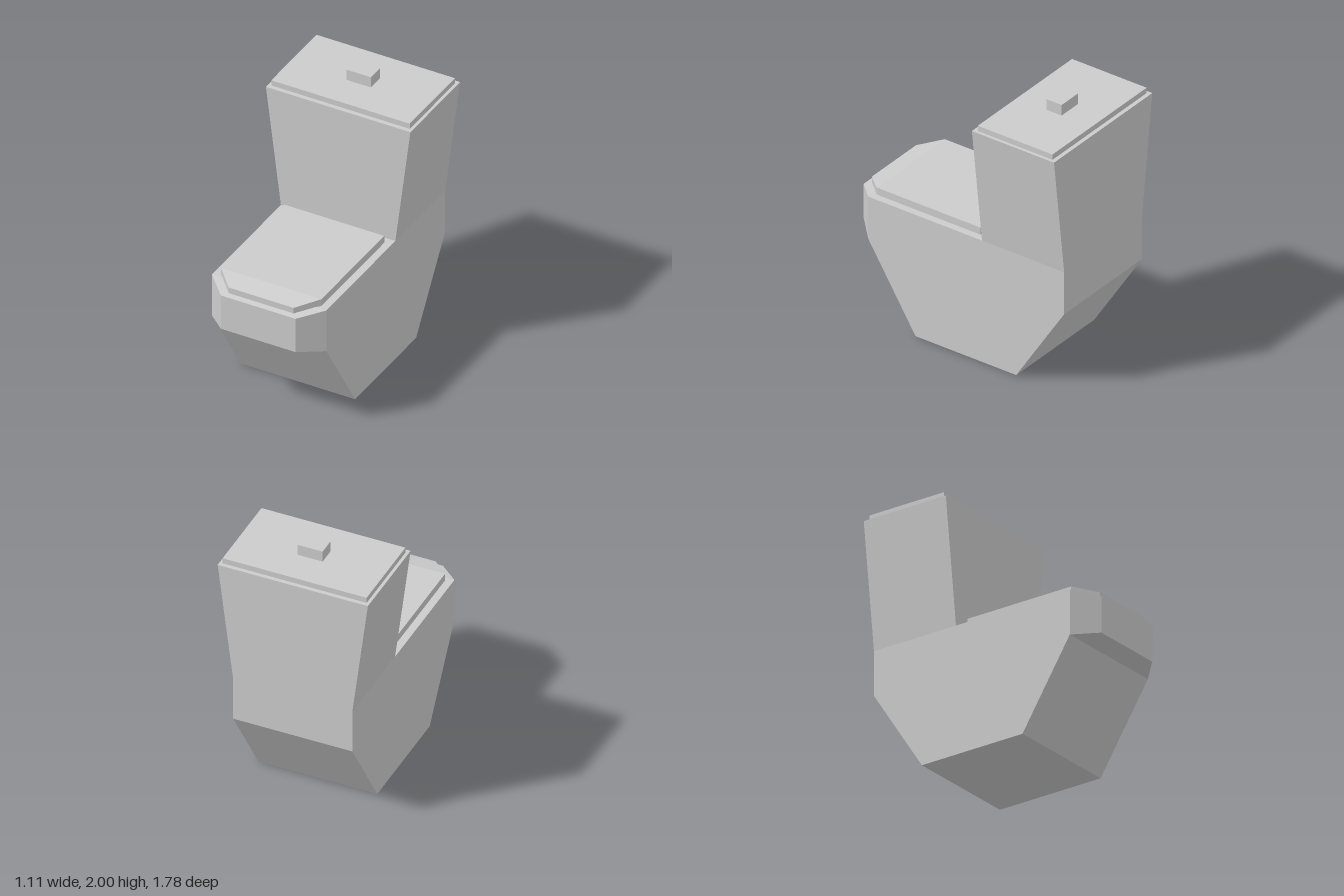
import * as THREE from 'three';

const material = new THREE.MeshStandardMaterial({ color: 0xcccccc, flatShading: true });

function addPart(group, name, geometry) {
  const mesh = new THREE.Mesh(geometry, material);
  mesh.name = name;
  group.add(mesh);
  return mesh;
}

// Solid through rectangular sections [z, halfWidth, bottom, top], ordered back to front
function loft(sections) {
  const positions = [];
  const index = [];
  for (const [z, w, y0, y1] of sections) {
    positions.push(w, y0, z, w, y1, z, -w, y1, z, -w, y0, z);
  }
  const quad = (a, b, c, d) => index.push(a, b, c, a, c, d);
  const last = (sections.length - 1) * 4;
  for (let i = 0; i < last; i += 4) {
    for (let k = 0; k < 4; k++) {
      const n = (k + 1) % 4;
      quad(i + k, i + n, i + 4 + n, i + 4 + k);
    }
  }
  quad(3, 2, 1, 0);
  quad(last, last + 1, last + 2, last + 3);
  const indexed = new THREE.BufferGeometry();
  indexed.setAttribute('position', new THREE.Float32BufferAttribute(positions, 3));
  indexed.setIndex(index);
  const geometry = indexed.toNonIndexed();
  geometry.computeVertexNormals();
  return geometry;
}

// Box between two heights and two depths, with its own half width at bottom and top
function taperedBox(bottomHalf, topHalf, y0, y1, zBack, zFront) {
  const geometry = new THREE.BoxGeometry(2, y1 - y0, zFront - zBack);
  geometry.translate(0, (y0 + y1) / 2, (zBack + zFront) / 2);
  const p = geometry.attributes.position;
  for (let i = 0; i < p.count; i++) {
    const half = p.getY(i) > (y0 + y1) / 2 ? topHalf : bottomHalf;
    p.setX(i, p.getX(i) * half);
  }
  geometry.computeVertexNormals();
  return geometry;
}

export function createModel() {
  const group = new THREE.Group();
  group.name = 'toilet';

  // Bowl and foot with a bevelled nose
  addPart(group, 'bowl', loft([
    [-0.89, 0.44, 0.625, 0.955],
    [-0.49, 0.44, 0, 0.955],
    [0.35, 0.44, 0, 0.955],
    [0.745, 0.44, 0.625, 0.955],
    [0.895, 0.287, 0.655, 0.925],
  ]));

  // Closed seat cover, bent down at the nose
  addPart(group, 'seatCover', loft([
    [-0.15, 0.385, 0.955, 1.01],
    [0.715, 0.385, 0.955, 1.01],
    [0.855, 0.25, 0.93, 0.978],
  ]));

  // Cistern flaring towards the top, its lid and flush button
  addPart(group, 'tank', taperedBox(0.44, 0.555, 0.955, 1.875, -0.89, -0.205));
  addPart(group, 'tankLid', taperedBox(0.532, 0.532, 1.875, 1.917, -0.86, -0.238));
  addPart(group, 'flushButton', taperedBox(0.093, 0.093, 1.917, 2, -0.613, -0.488));

  return group;
}
